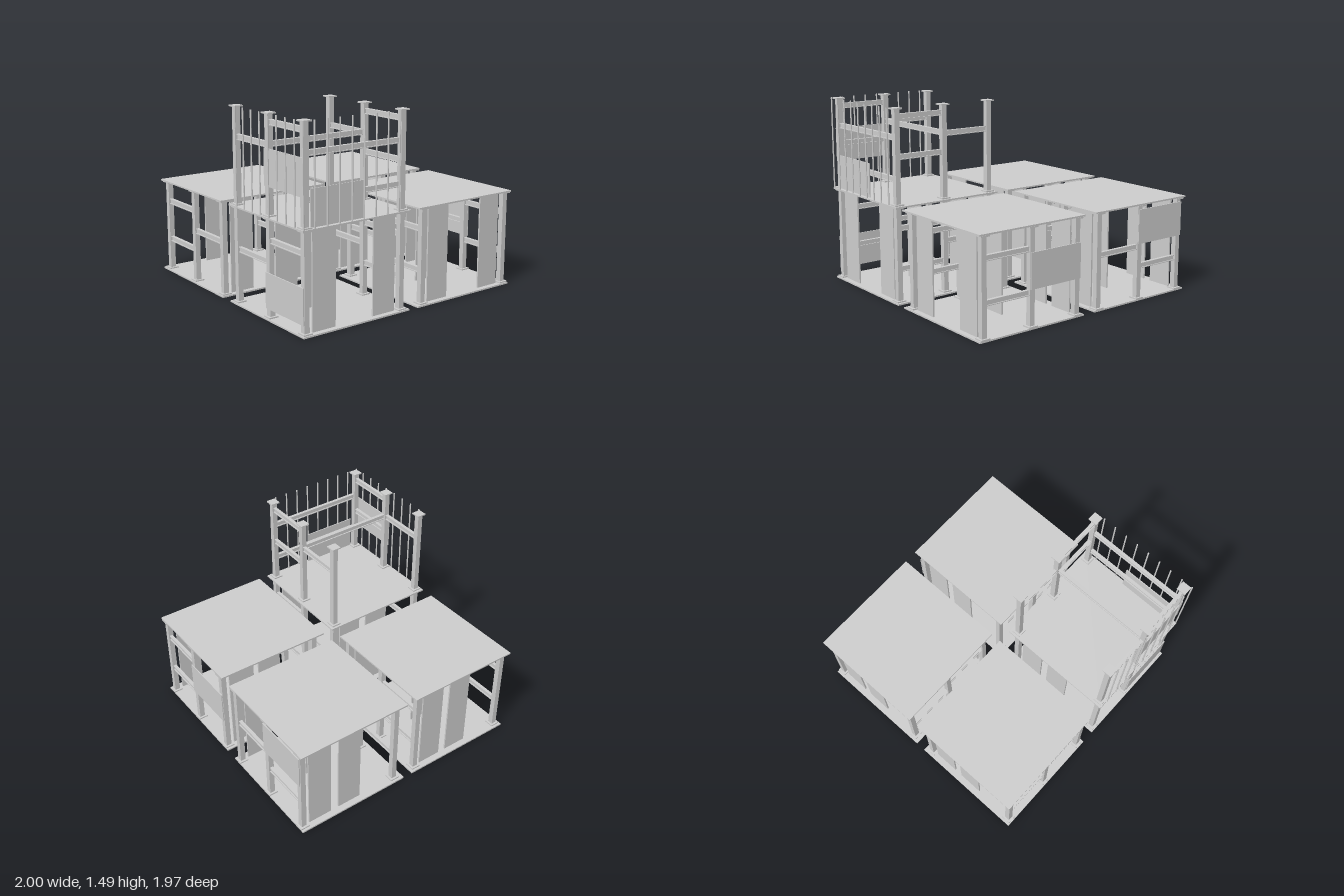
import * as THREE from 'three';

const SLAB = 0.945, T = 0.012, FLOOR = 0.745, TOP = 1.487;
const COL = 0.042, BAY = 0.42, ROW = 0.42;

export function createModel() {
  const model = new THREE.Group();
  const mat = new THREE.MeshStandardMaterial({ color: 0xcccccc, flatShading: true });

  function box(parent, name, w, h, d, x, y, z) {
    const m = new THREE.Mesh(new THREE.BoxGeometry(w, h, d), mat);
    m.name = name;
    m.position.set(x, y, z);
    parent.add(m);
    return m;
  }

  // Square post with a base plate and a cap plate
  function column(parent, x, z, y0, y1) {
    const g = new THREE.Group();
    g.name = 'column';
    box(g, 'post', COL, y1 - y0, COL, x, (y0 + y1) / 2, z);
    box(g, 'basePlate', 0.075, 0.01, 0.075, x, y0 + 0.005, z);
    box(g, 'capPlate', 0.075, 0.01, 0.075, x, y1 - 0.005, z);
    parent.add(g);
  }

  // I-section profile, extruded along the span of a beam
  const W = 0.0135, H = 0.021, F = 0.006, B = 0.004;
  const profile = new THREE.Shape([
    [-W, -H], [W, -H], [W, -H + F], [B, -H + F], [B, H - F], [W, H - F],
    [W, H], [-W, H], [-W, H - F], [-B, H - F], [-B, -H + F], [-W, -H + F],
  ].map(([x, y]) => new THREE.Vector2(x, y)));

  function beam(parent, axis, length, x, y, z) {
    const geo = new THREE.ExtrudeGeometry(profile, { depth: length, bevelEnabled: false });
    geo.translate(0, 0, -length / 2);
    if (axis === 'x') geo.rotateY(Math.PI / 2);
    const m = new THREE.Mesh(geo, mat);
    m.name = 'beam';
    m.position.set(x, y, z);
    parent.add(m);
  }

  // Six columns, and the beams across the bays on both rows
  function frame(parent, c, y0, y1, heights) {
    for (const r of [-1, 1]) {
      const z = c.z + r * ROW;
      for (const i of [-1, 0, 1]) column(parent, c.x + i * BAY, z, y0, y1);
      heights.forEach((ys, bay) => {
        for (const y of ys) beam(parent, 'x', BAY - COL, c.x + (bay - 0.5) * BAY, y, z);
      });
    }
  }

  // Ground floor: four separate units
  const walls = [[-1, 0], [-1, -1], [0, 0], [1, 1], [1, -1]]; // column line, slot
  for (const sx of [-1, 1]) for (const sz of [-1, 1]) {
    const unit = new THREE.Group();
    unit.name = `${sz > 0 ? 'front' : 'back'}${sx > 0 ? 'Left' : 'Right'}Unit`;
    const slabX = sx * 0.5265, slabZ = sz * 0.5135;
    box(unit, 'floorSlab', SLAB, T, SLAB, slabX, T / 2, slabZ);
    box(unit, 'roofSlab', SLAB, T, SLAB, slabX, FLOOR + T / 2, slabZ);

    const c = { x: sx > 0 ? 0.531 : -0.522, z: sz > 0 ? 0.519 : -0.53 };
    const bays = [[0.42], [0.265, 0.58]];
    frame(unit, c, T, FLOOR, sx > 0 ? bays : bays.reverse());

    // Staggered full-height wall strips on the column lines
    for (const [line, slot] of walls) {
      box(unit, 'wallPanel', 0.012, FLOOR - T, 0.198,
        c.x + line * BAY, (FLOOR + T) / 2, c.z + slot * 0.265);
    }
    model.add(unit);
  }

  // Open upper storey on one unit
  const upper = new THREE.Group();
  upper.name = 'upperStorey';
  const u = { x: 0.531, z: 0.519 };
  frame(upper, u, FLOOR + T, TOP, [[1.26], [1.12, 1.42]]);
  for (const [line, y] of [[1, 1.265], [1, 0.95], [0, 1.265]]) {
    beam(upper, 'z', 2 * ROW - COL, u.x + line * BAY, y, u.z);
  }

  // Railing bars along the two outer edges
  const bar = new THREE.CylinderGeometry(0.006, 0.006, TOP - FLOOR - T, 8);
  function railBar(x, z) {
    const m = new THREE.Mesh(bar, mat);
    m.name = 'railBar';
    m.position.set(x, (TOP + FLOOR + T) / 2, z);
    upper.add(m);
  }
  for (let i = 0; i < 8; i++) {
    railBar(0.16 + i * 0.105, 0.98);
    railBar(0.993, 0.152 + i * 0.105);
  }
  railBar(0.993, 0.98);
  model.add(upper);

  // Outer cladding boards
  const boards = new THREE.Group();
  boards.name = 'claddingBoards';
  const BW = 0.46, BH = 0.268, BT = 0.008;
  box(boards, 'frontLowerBoard', BW, BH, BT, 0.74, 0.215, 0.966);
  box(boards, 'frontUpperBoard', BW, BH, BT, 0.74, 1.107, 0.966);
  box(boards, 'sideUpperBoard', BT, BH, BW, 0.975, 0.895, 0.68);
  box(boards, 'backBoard', BW, BH, BT, 0.32, 0.425, -0.978);
  box(boards, 'backBoard', BW, BH, BT, -0.73, 0.58, -0.978);
  model.add(boards);

  return model;
}
